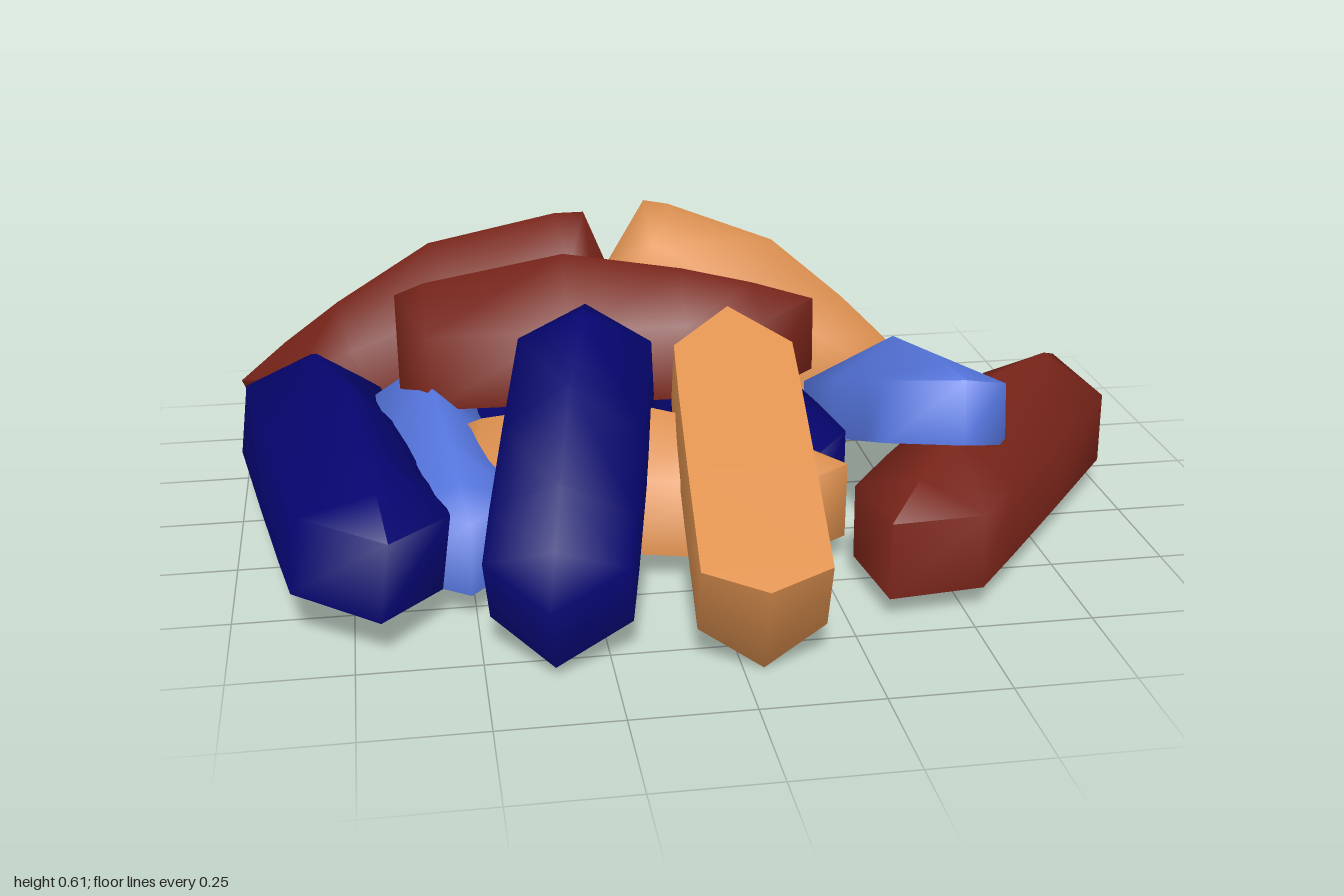
import * as THREE from 'three';
import { toCreasedNormals } from 'three/addons/utils/BufferGeometryUtils.js';

// Stations along a chunk: [fraction of length, half width, shoulder height, ridge height]
const STATIONS = [
  [0, 0, 0.22, 0.22],
  [0.07, 0.148, 0.165, 0.245],
  [0.40, 0.15, 0.17, 0.30],
  [0.68, 0.15, 0.17, 0.255],
  [0.85, 0.148, 0.165, 0.215],
  [1, 0, 0.17, 0.17],
];

// Flat-bottomed bar with a ridged top and pointed ends; the sharper point is at +z
function chunkGeometry(length, width, heightScale) {
  const rings = STATIONS.map(([t, w, shoulder, ridge]) => {
    const x = w * width / 0.3, z = t * length;
    return [[-x, 0], [-x, shoulder], [0, ridge], [x, shoulder], [x, 0]]
      .map(([px, py]) => new THREE.Vector3(px, py * heightScale, z));
  });
  const positions = [];
  const triangle = (a, b, c) => {
    if (new THREE.Triangle(a, b, c).getArea() < 1e-6) return;
    for (const p of [a, b, c]) positions.push(p.x, p.y, p.z);
  };
  for (let i = 0; i < rings.length - 1; i++) {
    for (let j = 0; j < 5; j++) {
      const k = (j + 1) % 5;
      const a = rings[i][j], b = rings[i][k], c = rings[i + 1][k], d = rings[i + 1][j];
      triangle(a, c, b);
      triangle(a, d, c);
    }
  }
  const geometry = new THREE.BufferGeometry();
  geometry.setAttribute('position', new THREE.Float32BufferAttribute(positions, 3));
  return toCreasedNormals(geometry, 1.55);
}

const materials = {
  red: new THREE.MeshStandardMaterial({ color: 0x782419 }),
  tan: new THREE.MeshStandardMaterial({ color: 0xe09250 }),
  navy: new THREE.MeshStandardMaterial({ color: 0x050570 }),
  sky: new THREE.MeshStandardMaterial({ color: 0x5575dd }),
};

// Each chunk: name, colour, blunt tip, sharp tip (both on the flat base), roll, width, height scale
const CHUNKS = [
  ['redChunkBack', 'red', [0.12, 0.05, -0.81], [-0.80, 0.05, -0.60], 0, 0.29, 1],
  ['redChunkLeaning', 'red', [-0.09, 0.40, -0.31], [-0.94, 0.05, -0.35], 0, 0.30, 1],
  ['redChunkTop', 'red', [-0.63, 0.30, 0.00], [0.31, 0.31, 0.05], 0, 0.30, 1],
  ['redChunkFront', 'red', [0.925, 0.06, -0.04], [0.335, 0.04, 0.69], 0, 0.30, 1],
  ['tanChunkLeaning', 'tan', [-0.10, 0.405, -0.505], [0.60, 0.00, -0.375], 0, 0.285, 0.9],
  ['tanChunkUpturned', 'tan', [0.035, 0.20, 0.93], [0.09, 0.51, 0.16], Math.PI, 0.26, 1],
  ['tanChunkBuried', 'tan', [-0.52, 0.06, 0.21], [0.31, 0.05, 0.40], 0, 0.27, 1],
  ['navyChunkSide', 'navy', [-0.86, 0.09, -0.23], [-0.695, 0.08, 0.71], 0.13, 0.315, 1],
  ['navyChunkFront', 'navy', [-0.21, 0.355, 0.13], [-0.365, 0.015, 0.82], 0, 0.29, 1],
  ['navyChunkBuriedRight', 'navy', [-0.30, 0.05, -0.58], [-0.38, 0.04, 0.33], 0, 0.29, 1],
  ['navyChunkBuriedLeft', 'navy', [0.07, 0.05, -0.57], [0.24, 0.04, 0.35], 0, 0.30, 1],
  ['skyChunkLeaning', 'sky', [0.47, 0.03, -0.20], [0.52, 0.315, 0.56], 0.1, 0.275, 0.8],
  ['skyChunkBuried', 'sky', [-0.60, 0.08, -0.15], [-0.51, 0.05, 0.56], 0, 0.26, 0.95],
];

export function createModel() {
  const pile = new THREE.Group();
  pile.name = 'pileOfChunks';
  for (const [name, color, blunt, sharp, roll, width, heightScale] of CHUNKS) {
    const start = new THREE.Vector3(...blunt);
    const forward = new THREE.Vector3(...sharp).sub(start);
    const length = forward.length();
    forward.normalize();
    const side = new THREE.Vector3(0, 1, 0).cross(forward).normalize().applyAxisAngle(forward, -roll);
    const up = forward.clone().cross(side);
    const mesh = new THREE.Mesh(chunkGeometry(length, width, heightScale), materials[color]);
    mesh.name = name;
    mesh.position.copy(start);
    mesh.quaternion.setFromRotationMatrix(new THREE.Matrix4().makeBasis(side, up, forward));
    pile.add(mesh);
  }
  return pile;
}
